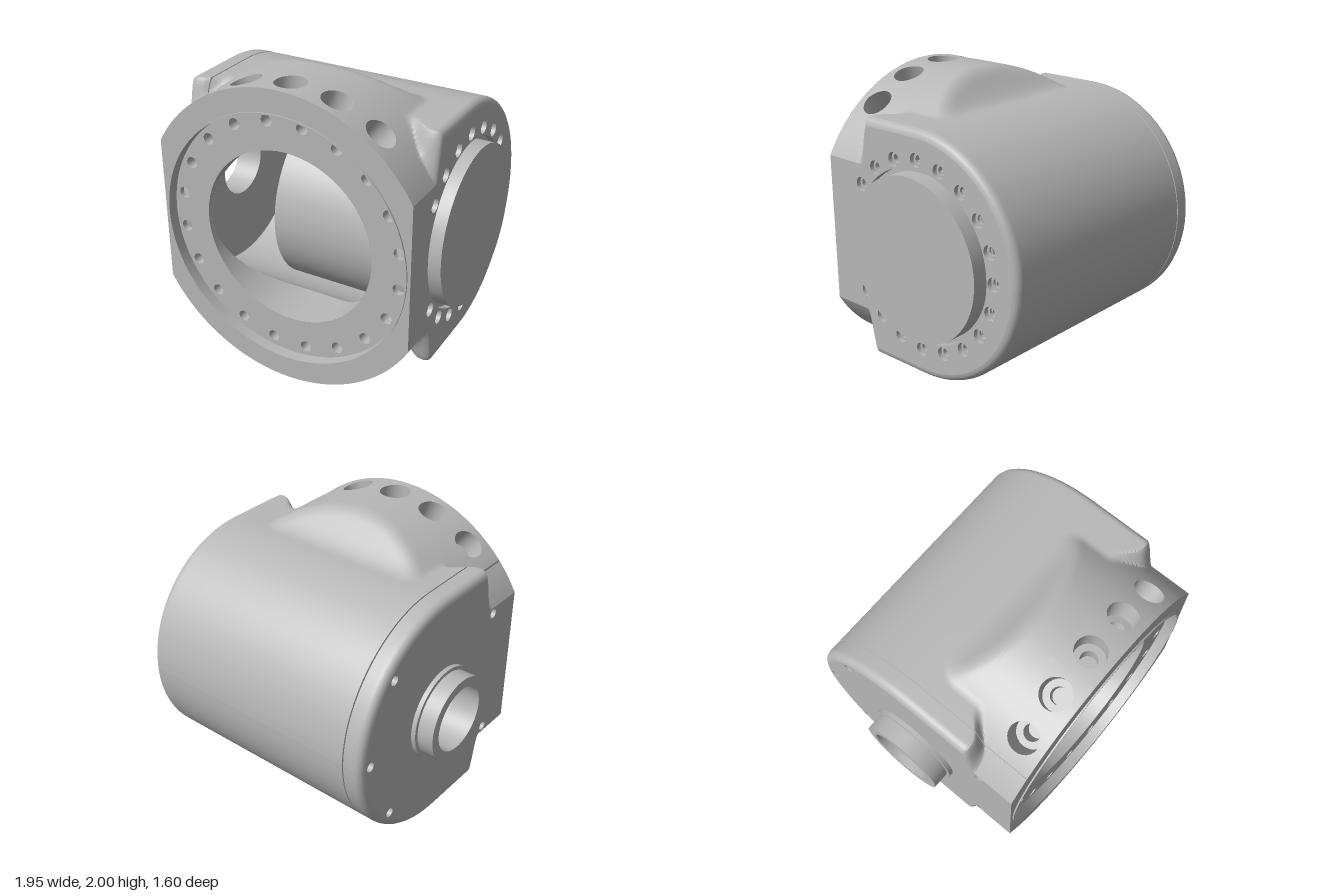
import * as THREE from 'three';
import { toCreasedNormals } from 'three/addons/utils/BufferGeometryUtils.js';

const { sin, cos, sqrt, asin, abs, min, max, PI } = Math;
const { lerp, smoothstep, degToRad } = THREE.MathUtils;
const HALF = 0.87;    // half width of the housing
const FRONT = 0.79;   // front face of the flange
const FACE = 0.725;   // recessed bolt ring face
const BORE = 0.585;   // front opening
const CAVITY = 0.7;   // inner chamber radius
const metal = new THREE.MeshStandardMaterial({ color: 0xb8b8b8, side: THREE.DoubleSide });
metal.name = 'grey metal';

// Surface made of a grid of points given by fn(i, j)
function grid(nu, nv, fn, skip = () => false) {
  const pos = [], idx = [];
  for (let i = 0; i <= nu; i++) for (let j = 0; j <= nv; j++) pos.push(...fn(i, j));
  for (let i = 0; i < nu; i++) for (let j = 0; j < nv; j++) {
    if (skip(i, j)) continue;
    const a = i * (nv + 1) + j, b = a + nv + 1;
    idx.push(a, a + 1, b, b, a + 1, b + 1);
  }
  const g = new THREE.BufferGeometry();
  g.setAttribute('position', new THREE.Float32BufferAttribute(pos, 3));
  g.setIndex(idx);
  return g;
}

function add(parent, name, geometry) {
  const mesh = new THREE.Mesh(toCreasedNormals(geometry, 0.6), metal);
  mesh.name = name;
  parent.add(mesh);
  return mesh;
}

const lathe = (points, segments = 24) =>
  new THREE.LatheGeometry(points.map(p => new THREE.Vector2(...p)), segments);

function hole(shape, x, y, r) {
  shape.holes.push(new THREE.Path().absarc(x, y, r, 0, PI * 2, true));
}

// Minimum with a rounded transition
function softMin(a, b, k) {
  const h = max(k - abs(a - b), 0) / k;
  return min(a, b) - h * h * k / 4;
}

// Side outline (y, z) of the upper half of the housing at a given x
const zs = [];
for (let i = 1; i <= 12; i++) zs.push(i * 0.02);
for (let i = 25; i <= 55; i++) zs.push(i * 0.01);
zs.push(FRONT);
function section(x) {
  const e = HALF - abs(x), f = 0.05;
  const fillet = e < f ? f - sqrt(f * f - (f - e) ** 2) : 0;
  const seam = abs(x + 0.735) < 0.003 ? 0.012 : 0;
  const R = 0.8 - fillet - seam, round = sqrt(1 - x * x) - seam;
  // The shoulder drops to the flange further forward towards the ends
  const drop = lerp(0.3, 0.435, smoothstep(abs(x), 0.6, 0.8)) - fillet * 0.4;
  const pts = [];
  for (let i = 0; i <= 24; i++) {
    const a = i / 24 * PI / 2;
    pts.push([R * sin(a), -R * cos(a)]);
  }
  for (const z of zs) {
    pts.push([round > R
      ? max(R, softMin(round, R + 0.27 * smoothstep(z, 0, 0.4), 0.06))
      : lerp(R, round, smoothstep(z, drop, drop + 0.08)), z]);
  }
  return pts;
}

// Outer skin: round back, ramp up to the flange, corner shoulders
function buildShell(g) {
  const xs = [-0.739, -0.737, -0.733, -0.731];
  for (let k = -34; k <= 34; k++) xs.push(sin(degToRad(1.5 * k)));
  for (const x of [0.8, 0.82, 0.83, 0.845, 0.857, 0.866, HALF]) xs.push(x, -x);
  xs.sort((a, b) => a - b);
  const rows = xs.map(section), n = rows[0].length - 1;
  for (const s of [1, -1]) {
    add(g, s > 0 ? 'upperShell' : 'lowerShell', grid(xs.length - 1, n,
      (i, j) => [xs[i], s * rows[i][j][0], rows[i][j][1]],
      (i, j) => rows[0][j][1] > 0.485 && abs(xs[i] + xs[i + 1]) / 2 < sin(PI / 4)));
  }
}

// Flat end wall with the given holes [z, y, radius]; side is +1 or -1
function endWall(g, side, holes) {
  const top = section(HALF), m = -side;
  const pts = top.map(([y, z]) => new THREE.Vector2(m * z, y));
  for (const [y, z] of top.slice(1).reverse()) pts.push(new THREE.Vector2(m * z, -y));
  const shape = new THREE.Shape(pts);
  for (const [z, y, r] of holes) hole(shape, m * z, y, r);
  const wall = add(g, side > 0 ? 'leftEndWall' : 'rightEndWall', new THREE.ShapeGeometry(shape, 32));
  wall.rotation.y = side * PI / 2;
  wall.position.x = side * HALF;
}

// Curved flange tile with a counterbored radial hole in its middle
function radialHole(g, angle) {
  const r = 0.1, tile = new THREE.Group();
  tile.name = 'radialBoltPocket';
  add(tile, 'flangeTile', grid(24, 5, (i, j) => {
    const a = i / 24 * PI * 2, c = cos(a), s = sin(a), q = max(abs(c), abs(s));
    if (j === 5) return [r * c, 0.86, 0.64 + r * s];
    const t = j / 4, th = lerp(degToRad(9) * c / q, asin(r * c), t);
    return [sin(th), cos(th), 0.64 + lerp(0.15 * s / q, r * s, t)];
  }));
  add(tile, 'pocketFloor', lathe([[r, 0], [0.055, 0], [0.055, -0.09], [0, -0.09]]))
    .position.set(0, 0.86, 0.64);
  tile.rotation.z = angle;
  g.add(tile);
}

function buildFront(g) {
  // Flange face with flat sides
  const lim = asin(HALF);
  const face = new THREE.Shape();
  face.absarc(0, 0, 1, PI / 2 - lim, PI / 2 + lim);
  face.absarc(0, 0, 1, 1.5 * PI - lim, 1.5 * PI + lim);
  hole(face, 0, 0, 0.845);
  add(g, 'flangeFace', new THREE.ShapeGeometry(face, 40)).position.z = FRONT;
  // Thin lip standing around the recess
  const lip = lathe([[0.84, FACE], [0.84, 0.8], [0.85, 0.8], [0.85, FRONT - 0.01]], 80);
  add(g, 'recessLip', lip).rotation.x = PI / 2;
  // Recessed ring with twenty bolt holes
  const ring = new THREE.Shape().absarc(0, 0, 0.84, 0, PI * 2);
  hole(ring, 0, 0, BORE);
  for (let i = 0; i < 20; i++) {
    const a = degToRad(9 + 18 * i), x = 0.774 * cos(a), y = 0.774 * sin(a);
    hole(ring, x, y, 0.038);
    const cup = add(g, 'frontBoltHole', lathe([[0.038, 0], [0.038, -0.1], [0, -0.1]]));
    cup.rotation.x = PI / 2;
    cup.position.set(x, y, FACE);
  }
  add(g, 'boltRing', new THREE.ShapeGeometry(ring, 40)).position.z = FACE;
  for (let k = -2; k <= 2; k++) for (const base of [0, PI]) radialHole(g, base + degToRad(18 * k));
}

function buildInterior(g) {
  const x0 = -0.82, x1 = 0.8, open = asin(BORE / CAVITY);
  // Bore running back until it meets the chamber
  add(g, 'frontBore', grid(72, 1, (i, j) => {
    const a = i / 72 * PI * 2, y = BORE * sin(a);
    return [BORE * cos(a), y, j ? sqrt(CAVITY ** 2 - y * y) : FACE];
  }));
  add(g, 'chamberWall', grid(48, 1, (i, j) => {
    const a = lerp(open, 2 * PI - open, i / 48);
    return [j ? x1 : x0, CAVITY * sin(a), CAVITY * cos(a)];
  }));
  for (const end of [x0, x1]) {
    add(g, 'chamberFront', grid(32, 1, (i, j) => {
      const a = lerp(-PI / 2, PI / 2, i / 32), y = BORE * sin(a);
      return [j ? end : Math.sign(end) * BORE * cos(a), y, sqrt(CAVITY ** 2 - y * y)];
    }));
    const wall = add(g, 'chamberEnd', new THREE.RingGeometry(end < 0 ? 0.22 : 0.59, CAVITY, 64));
    wall.rotation.y = PI / 2;
    wall.position.x = end;
  }
  // Drum inside the chamber
  const drum = add(g, 'innerDrum', new THREE.CylinderGeometry(0.6, 0.6, 0.995, 72));
  drum.rotation.z = PI / 2;
  drum.position.x = 0.3275;
}

function buildEnds(g) {
  // Cover disc side: gap ring, disc and seventeen counterbored holes
  const holes = [[0, 0, 0.56]];
  for (let i = 2; i <= 18; i++) {
    const a = degToRad(18 * i), z = 0.615 * cos(a), y = 0.615 * sin(a);
    holes.push([z, y, 0.045]);
    const cup = add(g, 'coverBoltHole',
      lathe([[0.045, 0], [0.045, -0.03], [0.028, -0.03], [0.028, -0.06], [0, -0.06]]));
    cup.rotation.z = -PI / 2;
    cup.position.set(HALF, y, z);
  }
  endWall(g, 1, holes);
  const disc = add(g, 'coverDisc',
    lathe([[0.56, 0.04], [0.56, 0], [0.53, 0], [0.53, 0.11], [0, 0.11]], 72));
  disc.rotation.z = -PI / 2;
  disc.position.x = HALF - 0.04;

  // Hollow hub side with small screw pockets near the rim
  const pockets = [135, 180, 225].map(d => [0.71 * cos(degToRad(d)), 0.71 * sin(degToRad(d)), 0.032]);
  pockets.push([0.54, 0.45, 0.032], [0.54, -0.45, 0.032]);
  for (const [z, y, r] of pockets) {
    const cup = add(g, 'capScrewPocket', lathe([[r, 0], [r, -0.045], [0, -0.045]], 16));
    cup.rotation.z = PI / 2;
    cup.position.set(-HALF, y, z);
  }
  endWall(g, -1, [[0, 0, 0.22], ...pockets]);
  const hub = add(g, 'hollowHub', lathe([[0.31, 0], [0.31, 0.03], [0.285, 0.03],
    [0.285, 0.14], [0.22, 0.14], [0.22, -0.05]], 56));
  hub.rotation.z = PI / 2;
  hub.position.x = -HALF;
}

export function createModel() {
  const model = new THREE.Group();
  model.name = 'jointHousing';
  const body = new THREE.Group();
  body.name = 'housing';
  body.position.set(0.035, 1, 0);
  buildShell(body);
  buildFront(body);
  buildInterior(body);
  buildEnds(body);
  model.add(body);
  return model;
}
